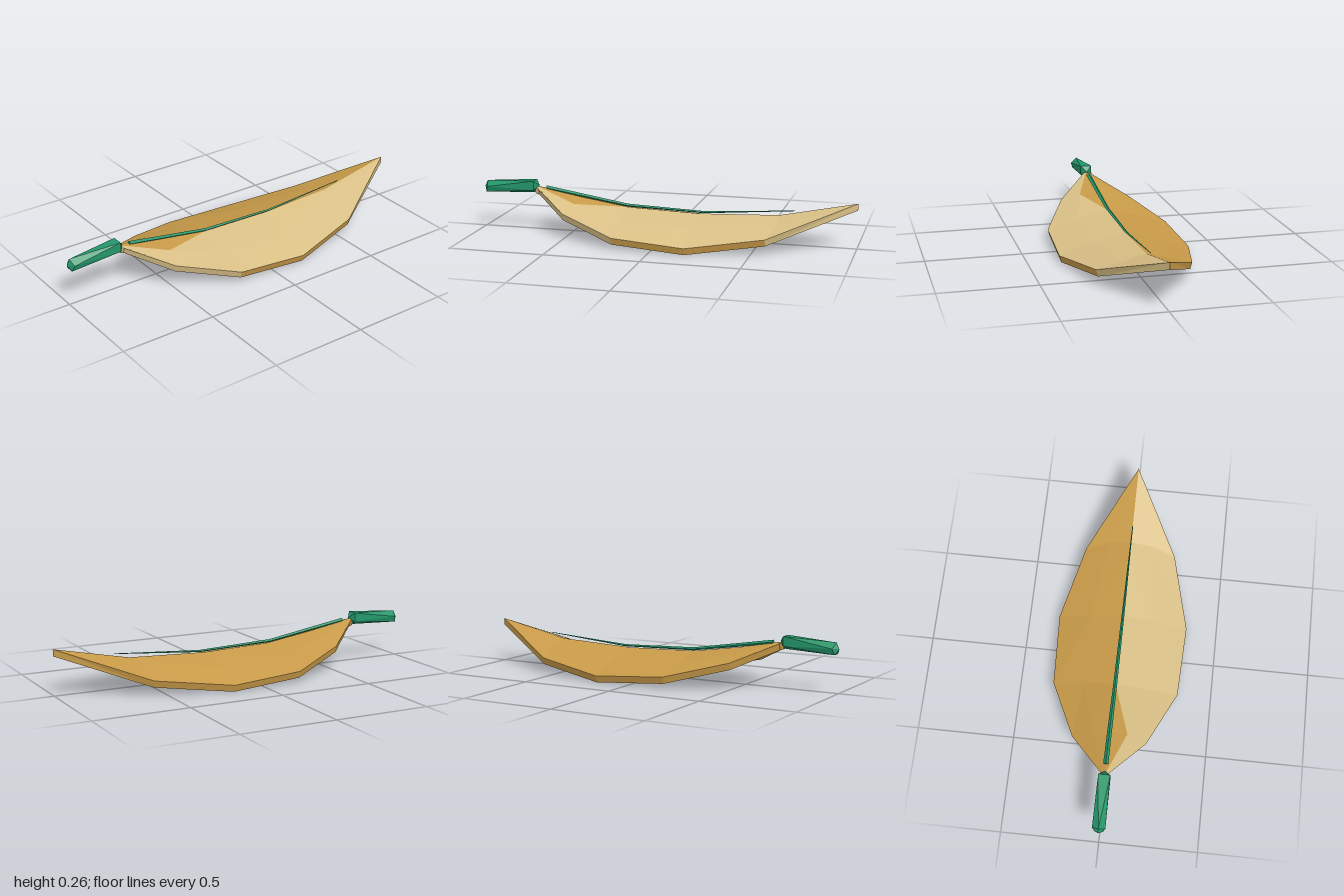
import * as THREE from 'three';
import { ConvexGeometry } from 'three/addons/geometries/ConvexGeometry.js';

const flat = (color, name) => {
  const m = new THREE.MeshStandardMaterial({ color, flatShading: true });
  m.name = name;
  return m;
};

// Rows from stem to tip: z, spine height, middle x and y, edge x and y, edge z
const ROWS = [
  [0.71, 0.235, 0.01, 0.231, 0.02, 0.225, 0.69],
  [0.47, 0.188, 0.09, 0.168, 0.19, 0.135, 0.5],
  [0.2, 0.147, 0.16, 0.108, 0.325, 0.06, 0.2],
  [-0.18, 0.135, 0.17, 0.093, 0.34, 0.035, -0.18],
  [-0.6, 0.152, 0.12, 0.12, 0.24, 0.08, -0.57],
  [-1, 0.235, 0, 0.235, 0, 0.235, -1],
];

// Triangle collector that skips collapsed triangles
function addTri(list, a, b, c, side) {
  const area = b.clone().sub(a).cross(c.clone().sub(a)).length();
  if (area < 1e-7) return;
  const pts = side > 0 ? [a, b, c] : [a, c, b];
  for (const p of pts) list.push(p.x * side, p.y, p.z);
}
function addQuad(list, a, b, c, d, side) {
  addTri(list, a, b, d, side);
  addTri(list, b, c, d, side);
}
function meshFrom(list, material, name) {
  const g = new THREE.BufferGeometry();
  g.setAttribute('position', new THREE.Float32BufferAttribute(list, 3));
  g.computeVertexNormals();
  const mesh = new THREE.Mesh(g, material);
  mesh.name = name;
  return mesh;
}

function createBlade(gold, tan) {
  const v = (x, y, z) => new THREE.Vector3(x, y, z);
  const top = ROWS.map(([z, sy, mx, my, ex, ey, ez]) => [v(0, sy, z), v(mx, my, z), v(ex, ey, ez)]);
  const under = top.map(row => row.map((p, j) =>
    v(j === 2 ? Math.max(0, p.x - 0.01) : p.x, p.y - 0.035, p.z)));
  const goldTris = [], tanTris = [], underTris = [];

  for (const side of [-1, 1]) {
    const main = side > 0 ? tanTris : goldTris;
    for (let i = 0; i < ROWS.length - 1; i++) {
      for (let j = 0; j < 2; j++) {
        const [a, b, c, d] = [top[i][j], top[i][j + 1], top[i + 1][j + 1], top[i + 1][j]];
        if (i === 0) {
          addTri(main, a, b, c, side);
          addTri(j === 0 ? goldTris : main, a, c, d, side); // gold patch by the stem
        } else {
          addTri(i === 1 && j === 0 ? goldTris : main, a, b, d, side);
          addTri(main, b, c, d, side);
        }
        addQuad(underTris, under[i][j], under[i + 1][j], under[i + 1][j + 1], under[i][j + 1], side);
      }
      // Rim, gold around the widest part
      addQuad(i === 2 || i === 3 ? goldTris : main, top[i][2], under[i][2], under[i + 1][2], top[i + 1][2], side);
    }
    // Closing face at the stem end
    for (let j = 0; j < 2; j++) addQuad(main, top[0][j], under[0][j], under[0][j + 1], top[0][j + 1], side);
  }
  const blade = new THREE.Group();
  blade.name = 'leafBlade';
  blade.add(meshFrom(goldTris, gold, 'goldHalf'), meshFrom(tanTris, tan, 'tanHalf'),
    meshFrom(underTris, gold, 'underside'));
  return blade;
}

// Tapering four-sided rib lying along the spine
function createVein(green) {
  const stations = [[0.65, 0.228, 0.013], [0.2, 0.157, 0.01], [-0.21, 0.144, 0.007], [-0.68, 0.179, 0.002]];
  const rings = stations.map(([z, y, r]) => [[1, 0], [0, 1], [-1, 0], [0, -1]].map(([cx, cy]) =>
    new THREE.Vector3(cx * r, y + cy * r * 0.8, z)));
  const tris = [];
  for (let i = 0; i < rings.length - 1; i++) {
    for (let k = 0; k < 4; k++) {
      const n = (k + 1) % 4;
      addQuad(tris, rings[i][k], rings[i + 1][k], rings[i + 1][n], rings[i][n], 1);
    }
  }
  const [s, e] = [rings[0], rings[rings.length - 1]];
  addQuad(tris, s[0], s[1], s[2], s[3], 1);
  addQuad(tris, e[3], e[2], e[1], e[0], 1);
  return meshFrom(tris, green, 'centralVein');
}

// Stem: two opposed five-sided rings with a point at each end
function createStem(green) {
  const p = [[0, 0.235, 0.69], [0, 0.218, 1]];
  for (const s of [-1, 1]) {
    p.push([s * 0.03, 0.264, 0.715], [s * 0.031, 0.215, 0.715]);
    p.push([s * 0.033, 0.222, 0.975], [s * 0.022, 0.191, 0.985]);
  }
  p.push([0, 0.198, 0.72], [0, 0.25, 0.985]);
  const mesh = new THREE.Mesh(new ConvexGeometry(p.map(q => new THREE.Vector3(...q))), green);
  mesh.name = 'stem';
  return mesh;
}

export function createModel() {
  const gold = flat(0xc79a48, 'gold');
  const tan = flat(0xd8bf85, 'tan');
  const green = flat(0x23966a, 'green');
  const leaf = new THREE.Group();
  leaf.name = 'leaf';
  leaf.add(createBlade(gold, tan), createVein(green), createStem(green));
  return leaf;
}
